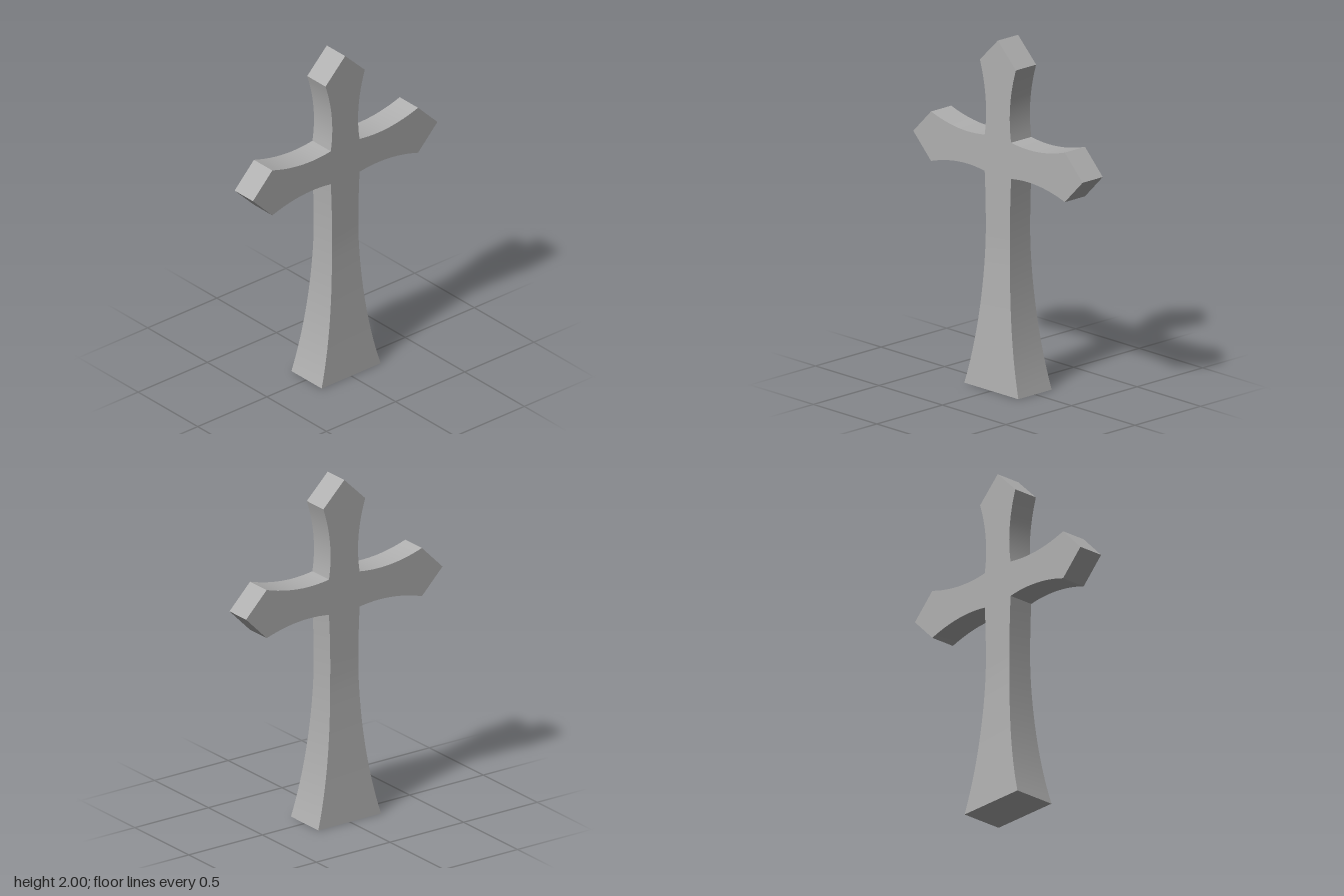
import * as THREE from 'three';
import { toCreasedNormals } from 'three/addons/utils/BufferGeometryUtils.js';

const CENTRE = 1.333; // height of the crossing
const INNER = 0.104; // half width at the crossing
const HALF_DEPTH = 0.077;

export function createModel() {
  const stone = new THREE.MeshStandardMaterial({ color: 0xb0b0b0 });
  stone.name = 'grey stone';
  const group = new THREE.Group();
  group.name = 'cross';

  // Head: three identical flared, pointed arms around the crossing
  const shape = new THREE.Shape();
  const turn = (x, y, a) => [
    x * Math.cos(a) - y * Math.sin(a),
    x * Math.sin(a) + y * Math.cos(a),
  ];
  shape.moveTo(-INNER, -INNER);
  shape.lineTo(INNER, -INNER);
  for (const a of [-Math.PI / 2, 0, Math.PI / 2]) {
    const p = (x, y) => turn(x, y, a);
    shape.quadraticCurveTo(...p(0.07, 0.31), ...p(0.142, 0.527));
    shape.lineTo(...p(0, 0.667));
    shape.lineTo(...p(-0.142, 0.527));
    shape.quadraticCurveTo(...p(-0.07, 0.31), ...p(-INNER, INNER));
  }
  const headGeo = new THREE.ExtrudeGeometry(shape, {
    depth: HALF_DEPTH * 2, bevelEnabled: false, curveSegments: 12,
  });
  headGeo.translate(0, CENTRE, -HALF_DEPTH);
  const head = new THREE.Mesh(toCreasedNormals(headGeo, 0.5), stone);
  head.name = 'headAndArms';
  group.add(head);

  // Shaft: a box whose rows follow a curve that flares towards the foot
  const top = CENTRE - INNER;
  const side = new THREE.QuadraticBezierCurve(
    new THREE.Vector2(0.213, 0), new THREE.Vector2(0.063, 0.5), new THREE.Vector2(INNER, top));
  const shaftGeo = new THREE.BoxGeometry(2, 1, 2, 1, 20, 1);
  const pos = shaftGeo.attributes.position;
  for (let i = 0; i < pos.count; i++) {
    const { x, y } = side.getPoint(pos.getY(i) + 0.5);
    const flare = 0.05 * Math.pow(Math.max(0, 1 - y / 0.85), 1.3);
    pos.setXYZ(i, pos.getX(i) * x, y, pos.getZ(i) * (HALF_DEPTH + flare));
  }
  shaftGeo.computeVertexNormals();
  const shaft = new THREE.Mesh(shaftGeo, stone);
  shaft.name = 'flaredShaft';
  group.add(shaft);

  return group;
}
